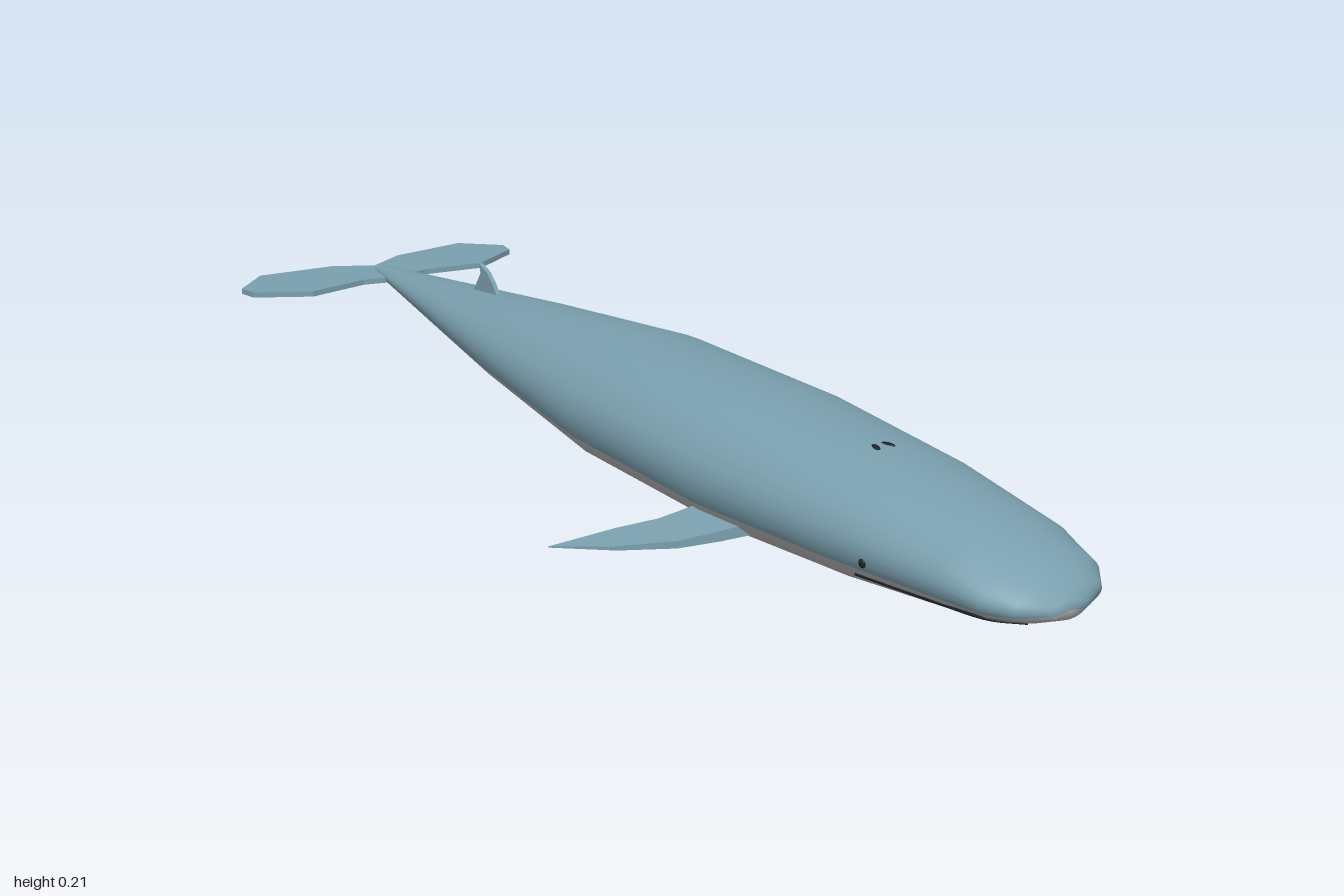
import * as THREE from 'three';

const skin = new THREE.MeshStandardMaterial({ color: 0x7a9fae });
skin.name = 'blue grey skin';
const pale = new THREE.MeshStandardMaterial({ color: 0xb4b6b3 });
pale.name = 'pale belly';
const dark = new THREE.MeshStandardMaterial({ color: 0x1c2226 });
dark.name = 'dark detail';

// Body stations, nose to tail: z, half width, top y, bottom y
const STATIONS = [
  [0.997, 0.03, 0.108, 0.08],
  [0.975, 0.078, 0.126, 0.072],
  [0.94, 0.106, 0.146, 0.062],
  [0.865, 0.122, 0.175, 0.048],
  [0.65, 0.146, 0.203, 0.022],
  [0.36, 0.166, 0.217, 0.003],
  [0, 0.157, 0.217, 0.003],
  [-0.35, 0.113, 0.183, 0.04],
  [-0.62, 0.066, 0.154, 0.071],
  [-0.92, 0.013, 0.122, 0.105],
];
const SIDES = 36;

// Ellipse of the body at any z
function section(z) {
  let i = 0;
  while (i < STATIONS.length - 2 && z < STATIONS[i + 1][0]) i++;
  const a = STATIONS[i], b = STATIONS[i + 1];
  const t = (z - a[0]) / (b[0] - a[0]);
  const [w, top, bottom] = [1, 2, 3].map((k) => a[k] + (b[k] - a[k]) * t);
  return { w, h: (top - bottom) / 2, c: (top + bottom) / 2 };
}

// Point on the flank at height y
function flank(side, y, z) {
  const { w, h, c } = section(z);
  return new THREE.Vector3(side * w * Math.sqrt(Math.max(0, 1 - ((y - c) / h) ** 2)), y, z);
}

function add(parent, name, geometry, material) {
  const mesh = new THREE.Mesh(geometry, material);
  mesh.name = name;
  parent.add(mesh);
  return mesh;
}

// Lofted body with one smooth surface and two colour groups
function bodyGeometry() {
  const pos = [], back = [], belly = [];
  for (const [z, w, top, bottom] of STATIONS) {
    for (let j = 0; j < SIDES; j++) {
      const a = (j / SIDES) * Math.PI * 2;
      pos.push(w * Math.cos(a), (top + bottom) / 2 + ((top - bottom) / 2) * Math.sin(a), z);
    }
  }
  const nose = pos.length / 3, tail = nose + 1, last = (STATIONS.length - 1) * SIDES;
  pos.push(0, 0.094, 1, 0, 0.1135, -0.925);
  for (let j = 0; j < SIDES; j++) {
    const k = (j + 1) % SIDES;
    const list = j >= 20 && j < 34 ? belly : back;
    list.push(nose, j, k, tail, last + k, last + j);
    for (let i = 0; i < last; i += SIDES) {
      list.push(i + j, i + SIDES + j, i + k, i + k, i + SIDES + j, i + SIDES + k);
    }
  }
  const g = new THREE.BufferGeometry();
  g.setAttribute('position', new THREE.Float32BufferAttribute(pos, 3));
  g.setIndex([...back, ...belly]);
  g.addGroup(0, back.length, 0);
  g.addGroup(back.length, belly.length, 1);
  g.computeVertexNormals();
  return g;
}

// Plate cut from an outline, centred on its own thickness
function plate(points, thickness) {
  const shape = new THREE.Shape(points.map(([x, y]) => new THREE.Vector2(x, y)));
  const g = new THREE.ExtrudeGeometry(shape, { depth: thickness, bevelEnabled: false });
  return g.translate(0, 0, -thickness / 2);
}

// Drooping flipper, thick at the root and thin at the tip
function flipperGeometry(side) {
  const outline = [[0.11, 0.46], [0.165, 0.437], [0.22, 0.408], [0.285, 0.345], [0.35, 0.258],
    [0.255, 0.297], [0.2, 0.327], [0.165, 0.335], [0.11, 0.345]];
  const g = plate(outline.map(([x, z]) => [side * x, z]), 0.018).rotateX(Math.PI / 2);
  const p = g.attributes.position;
  for (let i = 0; i < p.count; i++) {
    const t = (Math.abs(p.getX(i)) - 0.14) / 0.21;
    p.setY(i, 0.053 - 0.04 * t + p.getY(i) * (1 - 0.9 * t));
  }
  g.computeVertexNormals();
  return g;
}

export function createModel() {
  const whale = new THREE.Group();
  whale.name = 'whale';
  add(whale, 'body', bodyGeometry(), [skin, pale]);

  for (const side of [1, -1]) {
    const label = side > 0 ? 'left' : 'right';
    add(whale, label + 'Flipper', flipperGeometry(side), skin);

    // Tail fluke
    const fluke = [[0, -0.945], [0.072, -0.985], [0.215, -1], [0.282, -0.937], [0.275, -0.902],
      [0.18, -0.847], [0.065, -0.866], [0, -0.85]];
    add(whale, label + 'Fluke', plate(fluke.map(([x, z]) => [side * x, z]), 0.01).rotateX(Math.PI / 2), skin)
      .position.y = 0.11;

    // Mouth line along the jaw
    const line = [[0.08, 0.976], [0.081, 0.94], [0.079, 0.865], [0.074, 0.78], [0.07, 0.7]]
      .map(([y, z]) => flank(side, y, z));
    add(whale, label + 'Mouth', new THREE.TubeGeometry(new THREE.CatmullRomCurve3(line), 24, 0.0028, 6), dark);

    // Eye
    const eye = add(whale, label + 'Eye', new THREE.SphereGeometry(0.007, 12, 8), dark);
    eye.position.copy(flank(side, 0.099, 0.73));
    eye.scale.x = 0.5;

    // Blowhole
    const hole = add(whale, label + 'Blowhole', new THREE.SphereGeometry(0.009, 12, 8), dark);
    hole.position.set(side * 0.011, 0.204, 0.6);
    hole.scale.set(0.6, 0.35, 1.4);
    hole.rotation.y = side * 0.3;
  }

  // Swept dorsal fin
  const dorsal = [[-0.465, 0.155], [-0.488, 0.185], [-0.508, 0.203], [-0.535, 0.213],
    [-0.53, 0.197], [-0.54, 0.182], [-0.56, 0.155]];
  add(whale, 'dorsalFin', plate(dorsal, 0.008).rotateY(-Math.PI / 2), skin);

  return whale;
}
